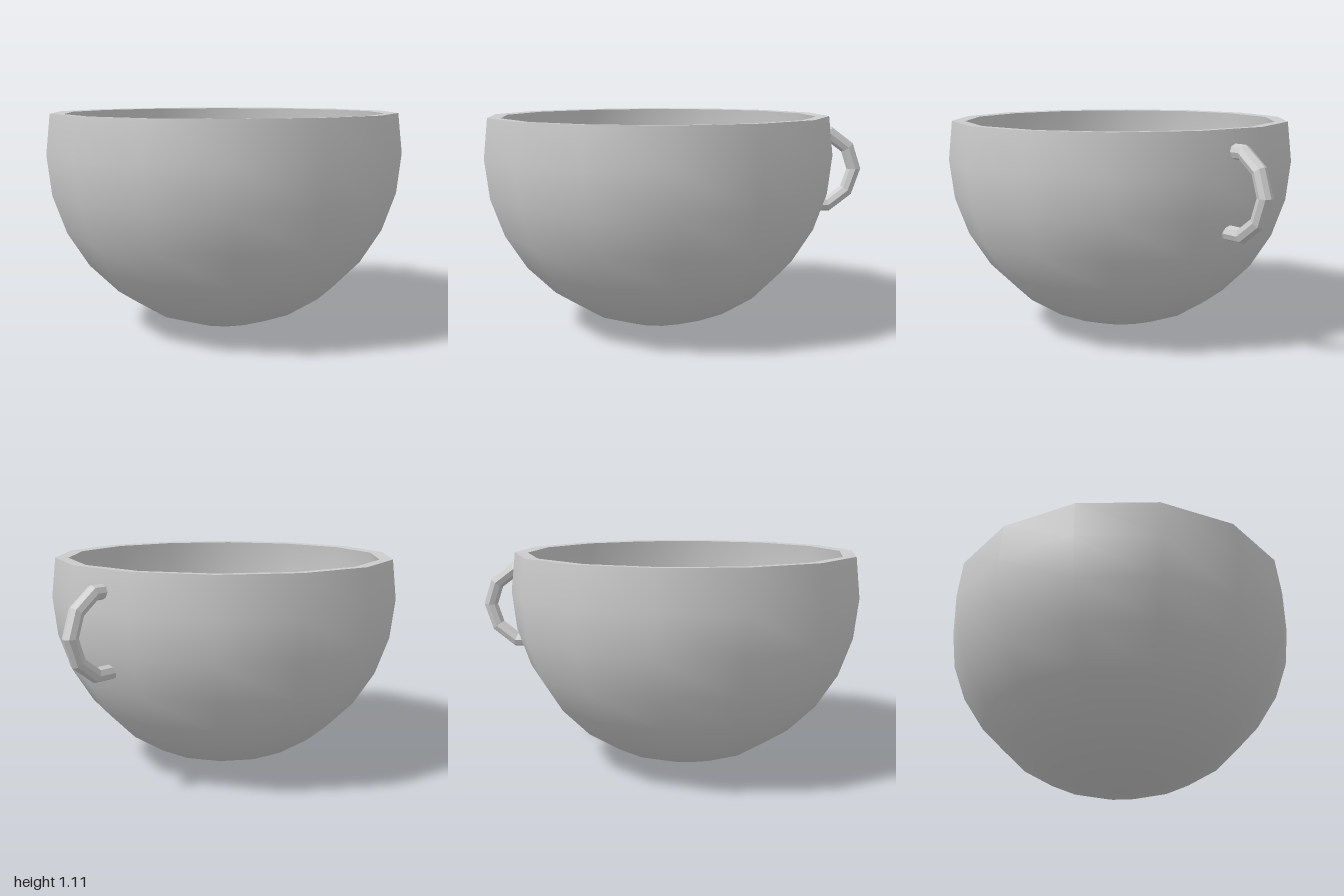
import * as THREE from 'three';
import { toCreasedNormals } from 'three/addons/utils/BufferGeometryUtils.js';

const SIDES = 14;
const STEP = (Math.PI * 2) / 28;
const CENTRE_Y = 0.91;

// Arc of a sphere from its bottom pole up to just above the equator
function arc(radius) {
  const points = [];
  for (let i = 0; i <= 8; i++) {
    points.push(new THREE.Vector2(radius * Math.sin(i * STEP), CENTRE_Y - radius * Math.cos(i * STEP)));
  }
  return points;
}

// Tube along a path of [y, z] points, with mitred corners and closed ends
function mitredTube(path, radius, sides) {
  const pts = path.map(([y, z]) => new THREE.Vector2(y, z));
  const positions = [];
  const index = [];
  const last = pts.length - 1;
  pts.forEach((p, i) => {
    const before = pts[i].clone().sub(pts[Math.max(i - 1, 0)]).normalize();
    const after = pts[Math.min(i + 1, last)].clone().sub(pts[i]).normalize();
    const t = before.clone().add(after).normalize();
    const mitre = radius / t.dot(i < last ? after : before);
    for (let j = 0; j < sides; j++) {
      const a = (j / sides) * Math.PI * 2;
      const s = Math.sin(a) * mitre;
      positions.push(Math.cos(a) * radius, p.x - t.y * s, p.y + t.x * s);
    }
  });
  for (let i = 0; i < last; i++) {
    for (let j = 0; j < sides; j++) {
      const k = (j + 1) % sides;
      const a = i * sides + j, b = a + sides, c = (i + 1) * sides + k, d = i * sides + k;
      index.push(a, b, c, a, c, d);
    }
  }
  const end = last * sides;
  for (let j = 1; j < sides - 1; j++) {
    index.push(0, j, j + 1, end, end + j + 1, end + j);
  }
  const geometry = new THREE.BufferGeometry();
  geometry.setAttribute('position', new THREE.Float32BufferAttribute(positions, 3));
  geometry.setIndex(index);
  geometry.computeVertexNormals();
  return geometry;
}

export function createModel() {
  const model = new THREE.Group();
  model.name = 'cup';

  // Bowl: outer wall, flat rim and inner wall in one closed profile
  const inner = arc(0.842);
  inner[8].set(0.82, 1.11);
  const profile = [...arc(0.91), ...inner.reverse()];
  const bowl = new THREE.Mesh(
    toCreasedNormals(new THREE.LatheGeometry(profile, SIDES, Math.PI / 2), 0.8),
    new THREE.MeshStandardMaterial({ color: 0xcccccc })
  );
  bowl.name = 'bowl';
  bowl.position.z = 0.11;
  model.add(bowl);

  // Handle: faceted loop at the back, its upper end just showing inside
  const handlePath = [
    [1.008, -0.695], [1.008, -0.82], [0.932, -0.922], [0.815, -0.962],
    [0.698, -0.922], [0.622, -0.82], [0.622, -0.695]
  ];
  const handle = new THREE.Mesh(
    mitredTube(handlePath, 0.037, 8),
    new THREE.MeshStandardMaterial({ color: 0xcccccc, flatShading: true })
  );
  handle.name = 'handle';
  handle.position.x = -0.018;
  model.add(handle);

  return model;
}
